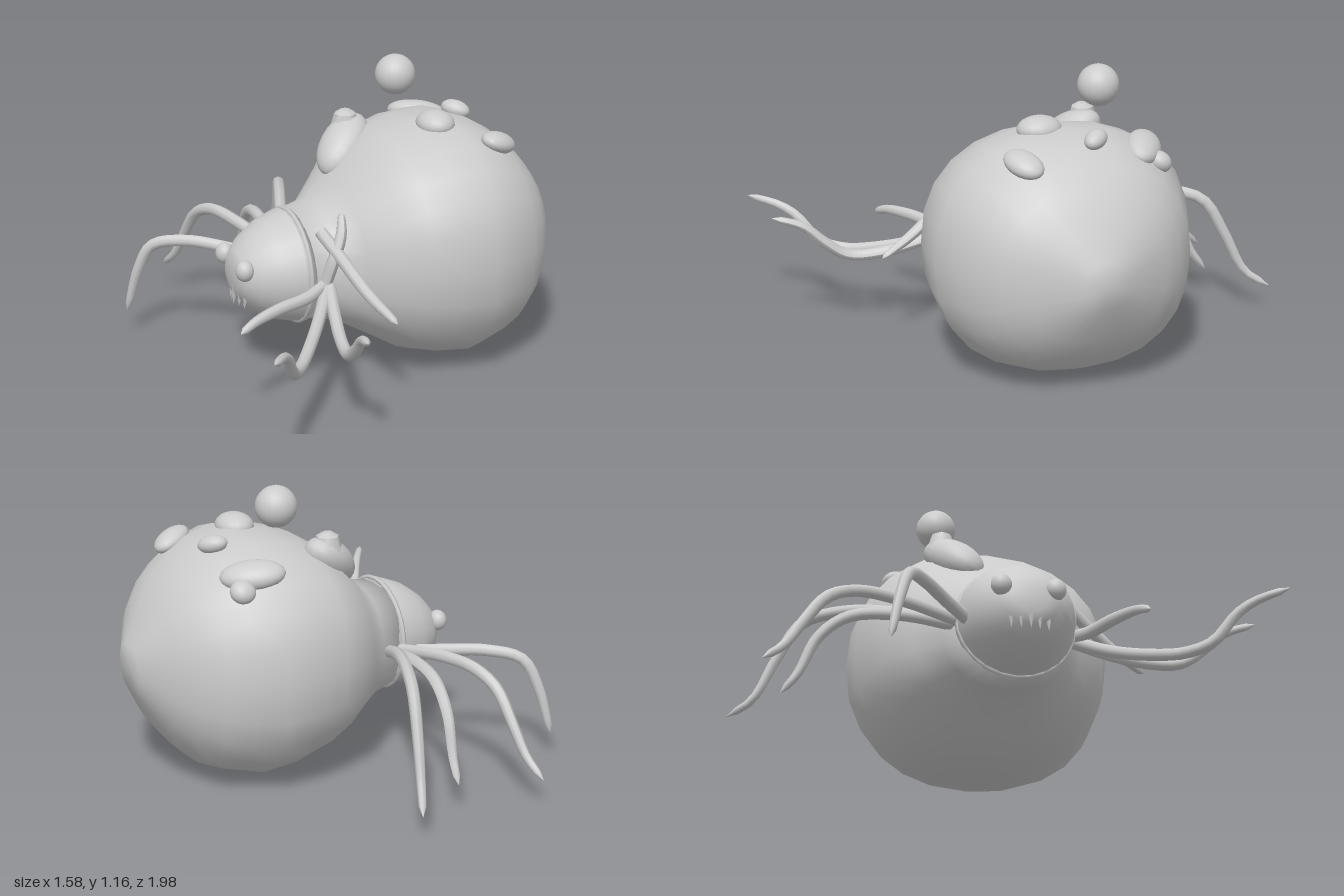
import * as THREE from 'three';

const material = new THREE.MeshStandardMaterial({ color: 0xcccccc });
const doubleSided = new THREE.MeshStandardMaterial({ color: 0xcccccc, side: THREE.DoubleSide });

// Closed skin through rounded-square sections [x, top, bottom, zMin, zMax]
function loft(sections, sides, power) {
  const pos = [], index = [];
  const round = (v) => Math.sign(v) * Math.pow(Math.abs(v), 2 / power);
  for (const [x, top, bottom, z0, z1] of sections) {
    for (let j = 0; j < sides; j++) {
      const a = (j / sides) * Math.PI * 2;
      pos.push(x, (top + bottom) / 2 + ((top - bottom) / 2) * round(Math.sin(a)),
        (z0 + z1) / 2 + ((z1 - z0) / 2) * round(Math.cos(a)));
    }
  }
  const last = sections.length - 1;
  for (const k of [0, last]) {
    const [x, top, bottom, z0, z1] = sections[k];
    pos.push(x, (top + bottom) / 2, (z0 + z1) / 2);
  }
  const c0 = sections.length * sides;
  for (let j = 0; j < sides; j++) {
    const n = (j + 1) % sides;
    for (let i = 0; i < last; i++) {
      const a = i * sides + j, b = i * sides + n;
      index.push(a, a + sides, b, b, a + sides, b + sides);
    }
    index.push(c0, j, n, c0 + 1, last * sides + n, last * sides + j);
  }
  const g = new THREE.BufferGeometry();
  g.setAttribute('position', new THREE.Float32BufferAttribute(pos, 3));
  g.setIndex(index);
  g.computeVertexNormals();
  return g;
}

// Tube that narrows to a blunt point at its far end
function taperedTube(points, radius) {
  const curve = new THREE.CatmullRomCurve3(points.map((p) => new THREE.Vector3(...p)));
  const rings = 24, sides = 8;
  const g = new THREE.TubeGeometry(curve, rings, radius, sides);
  const p = g.attributes.position, v = new THREE.Vector3();
  for (let i = 0; i <= rings; i++) {
    const t = i / rings, c = curve.getPointAt(t);
    const s = t === 1 ? 0.05 : 1 - 0.5 * Math.pow(t, 4);
    for (let j = 0; j <= sides; j++) {
      const k = i * (sides + 1) + j;
      v.fromBufferAttribute(p, k).sub(c).multiplyScalar(s).add(c);
      p.setXYZ(k, v.x, v.y, v.z);
    }
  }
  g.computeVertexNormals();
  return g;
}

export function createModel() {
  const model = new THREE.Group();
  const add = (name, geometry, mat = material) => {
    const mesh = new THREE.Mesh(geometry, mat);
    mesh.name = name;
    model.add(mesh);
    return mesh;
  };
  const ball = (name, at, radii, turn = [0, 0, 0]) => {
    const mesh = add(name, new THREE.SphereGeometry(1, 20, 14));
    mesh.position.set(...at);
    mesh.scale.set(...radii);
    mesh.rotation.set(...turn, 'YZX');
    return mesh;
  };

  // Swollen abdomen narrowing to the neck
  add('abdomen', loft([
    [-0.3, 0.64, 0.22, -0.17, 0.26], [-0.19, 0.66, 0.2, -0.22, 0.28],
    [-0.1, 0.74, 0.165, -0.31, 0.36], [0, 0.85, 0.11, -0.41, 0.47],
    [0.1, 0.91, 0.05, -0.45, 0.52], [0.22, 0.945, 0.015, -0.48, 0.54],
    [0.36, 0.955, 0, -0.49, 0.55], [0.48, 0.92, 0.03, -0.44, 0.5],
    [0.57, 0.865, 0.07, -0.4, 0.45], [0.64, 0.8, 0.14, -0.33, 0.39],
    [0.7, 0.72, 0.22, -0.25, 0.31], [0.79, 0.56, 0.38, -0.06, 0.12],
  ], 24, 2.3));

  // Domed head with a collar edge
  add('head', loft([
    [-0.54, 0.48, 0.37, -0.02, 0.12], [-0.525, 0.52, 0.33, -0.06, 0.16],
    [-0.48, 0.57, 0.28, -0.11, 0.21], [-0.41, 0.62, 0.235, -0.155, 0.255],
    [-0.32, 0.655, 0.21, -0.18, 0.28], [-0.28, 0.645, 0.205, -0.185, 0.285],
  ], 24, 2));
  const collar = add('neckCollar', new THREE.TorusGeometry(0.222, 0.01, 6, 28));
  collar.rotation.y = Math.PI / 2;
  collar.scale.x = 1.03;
  collar.position.set(-0.3, 0.43, 0.05);

  // Eyes and small teeth
  for (const z of [-0.06, 0.15]) ball('eye', [-0.525, 0.475, z], [0.036, 0.042, 0.04]);
  for (let i = -2; i <= 2; i++) {
    const tooth = add('tooth', new THREE.ConeGeometry(0.02, 0.08, 5));
    tooth.position.set(-0.53 + Math.abs(i) * 0.008, 0.345, 0.05 + i * 0.036);
    tooth.rotation.z = Math.PI - 0.15;
  }

  // Lumps on the back, with a nub and a hovering ball
  ball('longLump', [0.01, 0.825, -0.125], [0.155, 0.08, 0.095], [-0.15, 0.65, 0.6]);
  const nub = add('nub', new THREE.CylinderGeometry(0.045, 0.065, 0.07, 7));
  nub.position.set(0.04, 0.905, -0.17);
  const nubCap = add('nubCap', new THREE.CylinderGeometry(0.02, 0.045, 0.015, 7));
  nubCap.position.set(0.04, 0.9475, -0.17);
  ball('hoveringBall', [0.25, 1.08, -0.15], [0.081, 0.081, 0.081]);
  ball('topLump', [0.3, 0.945, 0.11], [0.074, 0.052, 0.088]);
  ball('leftLump', [0.505, 0.88, 0.25], [0.088, 0.04, 0.06], [0.25, 0.5, -0.3]);
  ball('rearLump', [0.47, 0.935, 0 - 0.05], [0.06, 0.035, 0.04], [0, -0.8, -0.2]);
  ball('rightLump', [0.41, 0.865, -0.27], [0.125, 0.05, 0.07], [-0.4, -0.5, -0.1]);
  ball('smallLump', [0.47, 0.82, -0.31], [0.05, 0.04, 0.05], [-0.6, 0, 0]);

  // Eight bent legs
  const legs = {
    rightLeg1: [[-0.34, 0.4, -0.14], [-0.45, 0.42, -0.25], [-0.58, 0.43, -0.36], [-0.69, 0.4, -0.44], [-0.74, 0.29, -0.48], [-0.78, 0.1, -0.52]],
    rightLeg2: [[-0.28, 0.42, -0.15], [-0.34, 0.46, -0.4], [-0.38, 0.46, -0.58], [-0.41, 0.41, -0.69], [-0.43, 0.29, -0.78], [-0.45, 0.18, -0.85], [-0.475, 0.11, -0.93]],
    rightLeg3: [[-0.25, 0.42, -0.15], [-0.23, 0.45, -0.4], [-0.21, 0.43, -0.58], [-0.195, 0.34, -0.69], [-0.18, 0.19, -0.76], [-0.17, 0.11, -0.82]],
    rightLeg4: [[-0.24, 0.42, -0.15], [-0.14, 0.5, -0.42], [-0.07, 0.51, -0.6], [-0.02, 0.47, -0.73], [0.01, 0.32, -0.82], [0.04, 0.16, -0.9], [0.085, 0.1, -0.99]],
    leftLeg1: [[-0.22, 0.42, 0.25], [-0.34, 0.4, 0.325], [-0.48, 0.4, 0.385], [-0.6, 0.39, 0.44], [-0.67, 0.365, 0.47]],
    leftLeg2: [[-0.22, 0.42, 0.25], [-0.34, 0.33, 0.42], [-0.45, 0.285, 0.57], [-0.51, 0.275, 0.65], [-0.575, 0.3, 0.74], [-0.63, 0.4, 0.82], [-0.67, 0.44, 0.88], [-0.75, 0.47, 0.99]],
    leftLeg3: [[-0.22, 0.42, 0.25], [-0.27, 0.35, 0.42], [-0.31, 0.31, 0.57], [-0.335, 0.31, 0.69], [-0.345, 0.37, 0.78], [-0.36, 0.44, 0.86], [-0.39, 0.48, 0.98]],
    leftLeg4: [[-0.235, 0.61, 0.21], [-0.2, 0.54, 0.31], [-0.15, 0.43, 0.47], [-0.1, 0.36, 0.615]],
    leftLeg4Base: [[-0.24, 0.42, 0.27], [-0.215, 0.52, 0.29], [-0.18, 0.61, 0.28], [-0.165, 0.69, 0.25]],
  };
  for (const [name, points] of Object.entries(legs)) add(name, taperedTube(points, 0.025), doubleSided);

  return model;
}
